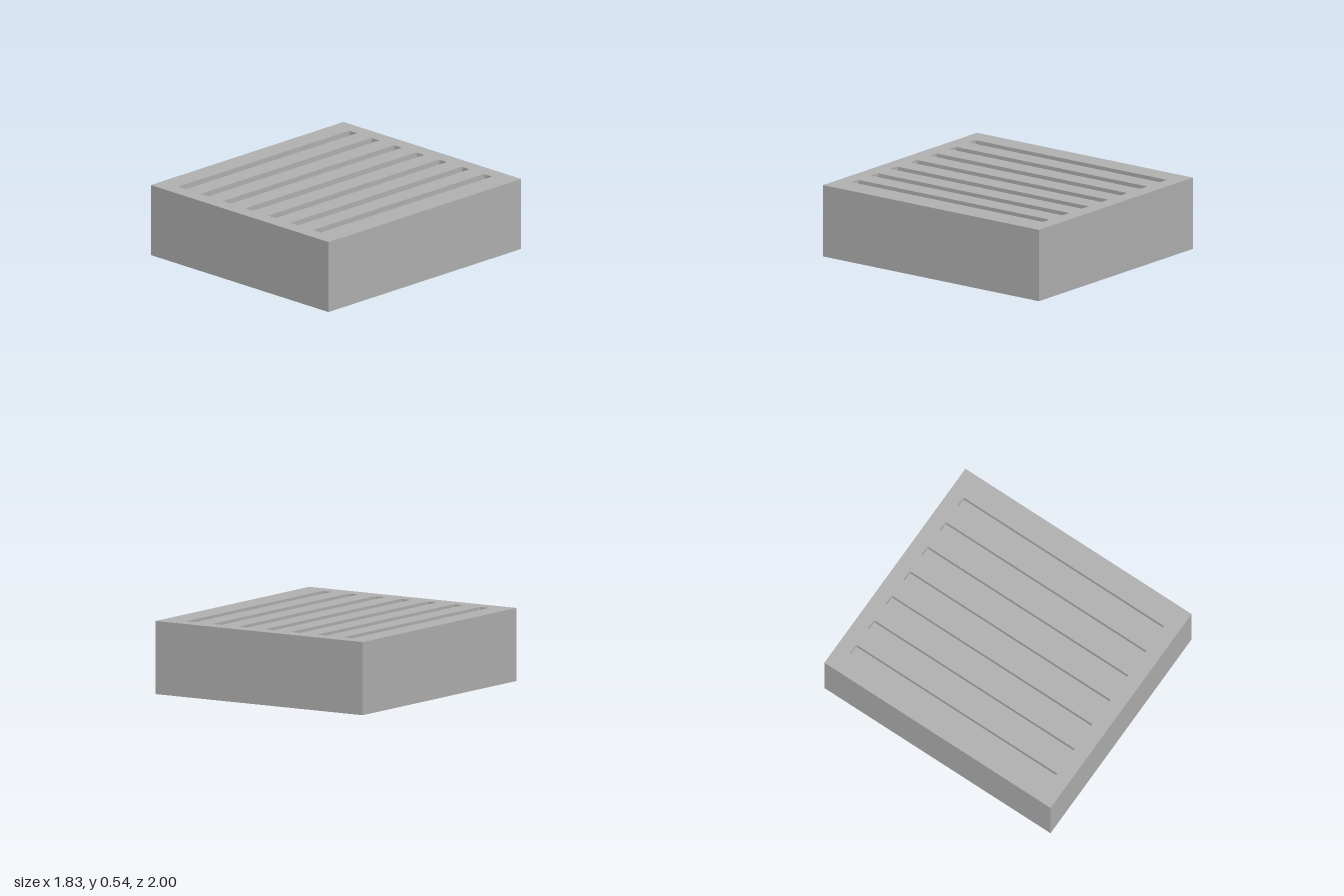
import * as THREE from 'three';
import { mergeVertices, toCreasedNormals } from 'three/addons/utils/BufferGeometryUtils.js';

const W = 1.825, H = 0.54, D = 2;
const SLOTS = 7, SLOT_W = 0.08, SLOT_L = 1.774, SLOT_DEPTH = 0.045, PITCH = 0.231;
const HOLE_X = 0.02, HOLE_R = 0.17, HOLE_DEPTH = 0.4;

// Rectangle with optional rounded corners, counter-clockwise, centred on cx
function rect(cx, w, d, r = 0) {
  const s = new THREE.Shape(), x = w / 2, y = d / 2;
  if (!r) {
    return s.moveTo(cx - x, -y).lineTo(cx + x, -y).lineTo(cx + x, y).lineTo(cx - x, y);
  }
  s.absarc(cx + x - r, -y + r, r, -Math.PI / 2, 0);
  s.absarc(cx + x - r, y - r, r, 0, Math.PI / 2);
  s.absarc(cx - x + r, y - r, r, Math.PI / 2, Math.PI);
  s.absarc(cx - x + r, -y + r, r, Math.PI, Math.PI * 1.5);
  return s;
}

// Flat horizontal face at height y, facing up or down
function face(shape, y, up, segments) {
  return new THREE.ShapeGeometry(shape, segments).rotateX(up ? -Math.PI / 2 : Math.PI / 2).translate(0, y, 0);
}

// Vertical wall along an outline; inward walls face the inside of the outline
function wall(shape, y0, y1, inward, segments) {
  const pts = shape.getPoints(segments).filter((p, i, all) => !i || p.distanceTo(all[i - 1]) > 1e-5);
  if (pts[0].distanceTo(pts[pts.length - 1]) < 1e-5) pts.pop();
  if (inward) pts.reverse();
  const pos = [];
  pts.forEach((a, i) => {
    const b = pts[(i + 1) % pts.length];
    pos.push(a.x, y0, -a.y, b.x, y0, -b.y, b.x, y1, -b.y);
    pos.push(a.x, y0, -a.y, b.x, y1, -b.y, a.x, y1, -a.y);
  });
  const g = new THREE.BufferGeometry();
  g.setAttribute('position', new THREE.Float32BufferAttribute(pos, 3));
  return toCreasedNormals(mergeVertices(g), 0.6);
}

export function createModel() {
  const model = new THREE.Group();
  model.name = 'slottedBlock';
  const grey = new THREE.MeshStandardMaterial({ color: 0xb2b2b2 });
  grey.name = 'light grey';
  const add = (name, geometry) => {
    const mesh = new THREE.Mesh(geometry, grey);
    mesh.name = name;
    model.add(mesh);
  };

  // Outer shell
  const top = rect(0, W, D), bottom = rect(0, W, D);
  add('outerSides', wall(top, 0, H, false));

  // Shallow slots sunk into the top
  for (let i = 0; i < SLOTS; i++) {
    const slot = rect(-0.012 + (i - (SLOTS - 1) / 2) * PITCH, SLOT_W, SLOT_L, 0.008);
    top.holes.push(slot);
    add('slotWall', wall(slot, H - SLOT_DEPTH, H, true, 4));
    add('slotFloor', face(slot, H - SLOT_DEPTH, true, 4));
  }
  add('topFace', face(top, H, true, 4));

  // Round blind hole in the underside
  const hole = new THREE.Shape().absarc(HOLE_X, 0, HOLE_R, 0, Math.PI * 2);
  bottom.holes.push(hole);
  add('bottomFace', face(bottom, 0, false, 32));
  add('holeWall', wall(hole, 0, HOLE_DEPTH, true, 32));
  add('holeEnd', face(hole, HOLE_DEPTH, false, 32));

  return model;
}
